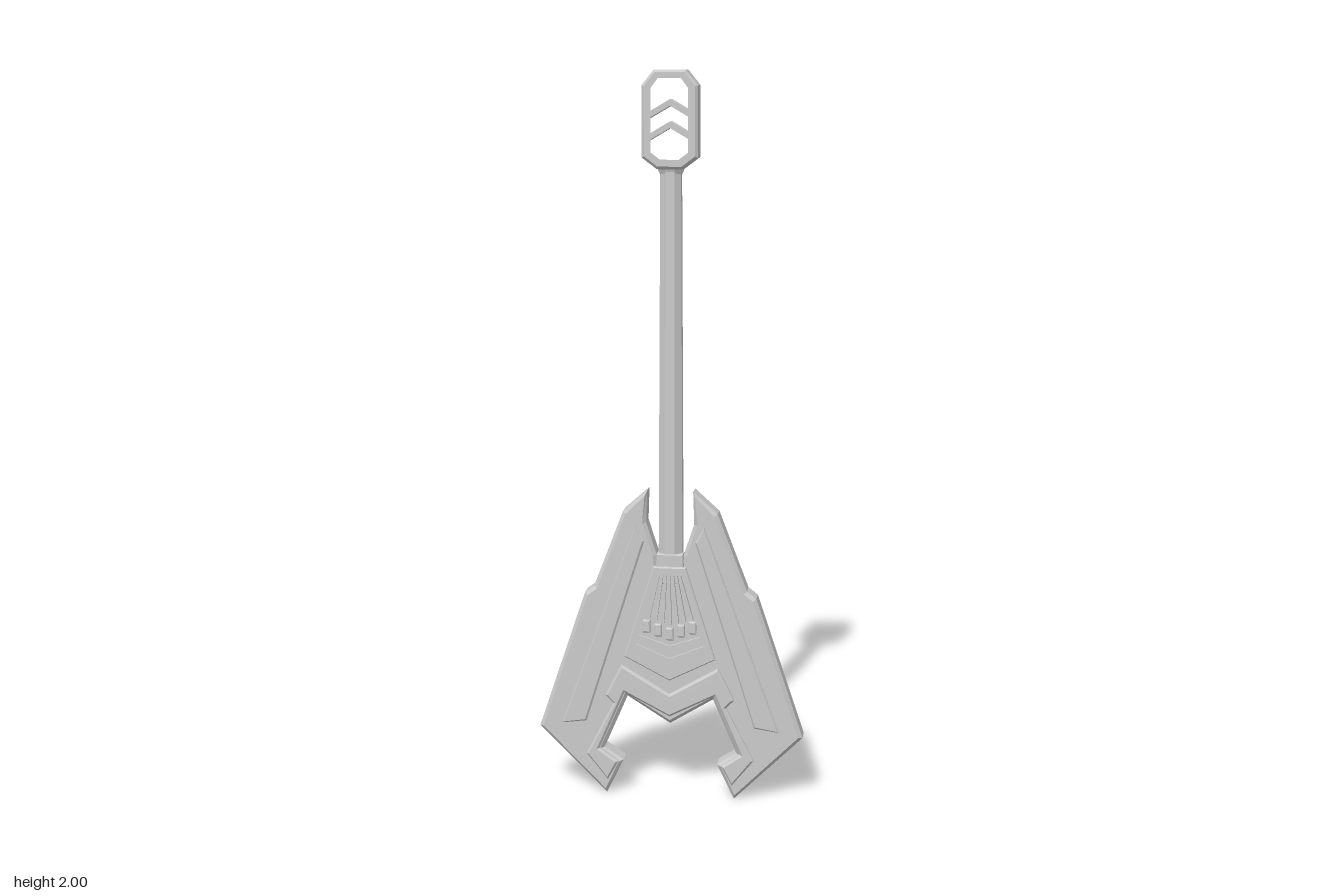
import * as THREE from 'three';

const material = new THREE.MeshStandardMaterial({ color: 0xcccccc, flatShading: true });

// Outline from its +x half (top centre to bottom centre), mirrored to -x
const mirrored = (half) => [
  ...half,
  ...half.filter(([x]) => x > 0).reverse().map(([x, y]) => [-x, y]),
];
const toVectors = (points) => points.map(([x, y]) => new THREE.Vector2(x, y));

// Chamfered plate between two z depths; the chamfer stays inside the outline
function plate(name, points, z0, z1, bevel = 0, hole = null) {
  const shape = new THREE.Shape(toVectors(points));
  if (hole) shape.holes.push(new THREE.Path(toVectors(hole)));
  const geometry = new THREE.ExtrudeGeometry(shape, {
    depth: z1 - z0 - 2 * bevel,
    bevelEnabled: bevel > 0,
    bevelThickness: bevel,
    bevelSize: bevel,
    bevelOffset: -bevel,
    bevelSegments: 1,
  });
  geometry.translate(0, 0, z0 + bevel);
  const mesh = new THREE.Mesh(geometry, material);
  mesh.name = name;
  return mesh;
}

// Bent bar, symmetric about x = 0
const chevron = (halfWidth, apexY, endY, t) =>
  mirrored([[0, apexY], [halfWidth, endY], [halfWidth, endY - t], [0, apexY - t]]);

export function createModel() {
  const model = new THREE.Group();

  // Winged body with a notch for the neck and a clawed cutout below
  model.add(plate('body', mirrored([
    [0, 0.64], [0.032, 0.64], [0.037, 0.7], [0.066, 0.79], [0.063, 0.88],
    [0.13, 0.82], [0.212, 0.605], [0.238, 0.585], [0.37, 0.19], [0.18, 0],
    [0.132, 0.1], [0.186, 0.135], [0.12, 0.29], [0, 0.215],
  ]), -0.038, 0.025, 0.01));

  // Raised strip down each wing
  for (const s of [1, -1]) {
    const strip = [[0.07, 0.74], [0.095, 0.785], [0.305, 0.205], [0.235, 0.215]];
    model.add(plate('wingStrip', strip.map(([x, y]) => [s * x, y]), 0.01, 0.031, 0.005));
  }

  // Stepped trim following the cutout
  model.add(plate('clawTrim', mirrored([
    [0, 0.305], [0.135, 0.385], [0.18, 0.295], [0.158, 0.272], [0.235, 0.12],
    [0.175, 0.045], [0.145, 0.1], [0.198, 0.137], [0.126, 0.305], [0, 0.24],
  ]), 0.01, 0.037, 0.006));
  model.add(plate('trimRidge', chevron(0.115, 0.285, 0.355, 0.016), 0.03, 0.039));

  // Central grille: frame, radiating bars, blocks and lower bands
  const grille = new THREE.Group();
  grille.name = 'grille';
  grille.add(plate('grilleFrame',
    mirrored([[0, 0.67], [0.045, 0.67], [0.127, 0.41], [0, 0.345]]), 0.01, 0.034, 0.003,
    mirrored([[0, 0.65], [0.036, 0.65], [0.103, 0.425], [0, 0.372]])));
  for (let i = -3; i <= 3; i++) {
    const top = i * 0.0095, low = i * 0.02, drop = 0.505 + Math.abs(i) * 0.006;
    grille.add(plate('grilleBar', [
      [top - 0.0025, 0.65], [top + 0.0025, 0.65], [low + 0.006, drop], [low - 0.006, drop],
    ], 0.015, 0.035));
  }
  for (let i = -2; i <= 2; i++) {
    const x = i * 0.032, y = 0.462 + Math.abs(i) * 0.01;
    grille.add(plate('grilleBlock', [
      [x - 0.011, y], [x + 0.011, y], [x + 0.01, y + 0.035], [x - 0.01, y + 0.035],
    ], 0.015, 0.036, 0.003));
  }
  grille.add(plate('grilleBand', chevron(0.09, 0.445, 0.475, 0.02), 0.015, 0.034));
  grille.add(plate('grilleBand', chevron(0.1, 0.408, 0.45, 0.018), 0.015, 0.034));
  model.add(grille);

  // Eight-sided neck, seated in the body notch
  const neck = new THREE.Mesh(
    new THREE.CylinderGeometry(0.03, 0.036, 1.12, 8).rotateY(Math.PI / 8), material);
  neck.name = 'neck';
  neck.scale.z = 0.88;
  neck.position.set(0, 1.18, -0.005);
  model.add(neck);
  model.add(plate('neckSeat', [
    [-0.042, 0.62], [0.042, 0.62], [0.036, 0.705], [-0.036, 0.705],
  ], -0.01, 0.026, 0.003));

  // Flared collar under the head
  const collar = new THREE.Mesh(
    new THREE.CylinderGeometry(0.043, 0.027, 0.035, 8).rotateY(Math.PI / 8), material);
  collar.name = 'collar';
  collar.scale.z = 0.75;
  collar.position.set(0, 1.74, -0.004);
  model.add(collar);

  // Open octagonal head with two slats
  model.add(plate('headRing',
    mirrored([[0, 2], [0.042, 2], [0.074, 1.96], [0.074, 1.775], [0.034, 1.745], [0, 1.745]]),
    -0.038, 0.031, 0.007,
    mirrored([[0, 1.985], [0.034, 1.985], [0.056, 1.955], [0.056, 1.785], [0.027, 1.763], [0, 1.763]])));
  for (const y of [1.925, 1.868]) {
    model.add(plate('headSlat', chevron(0.06, y, y - 0.035, 0.017), -0.025, 0.02));
  }
  return model;
}
